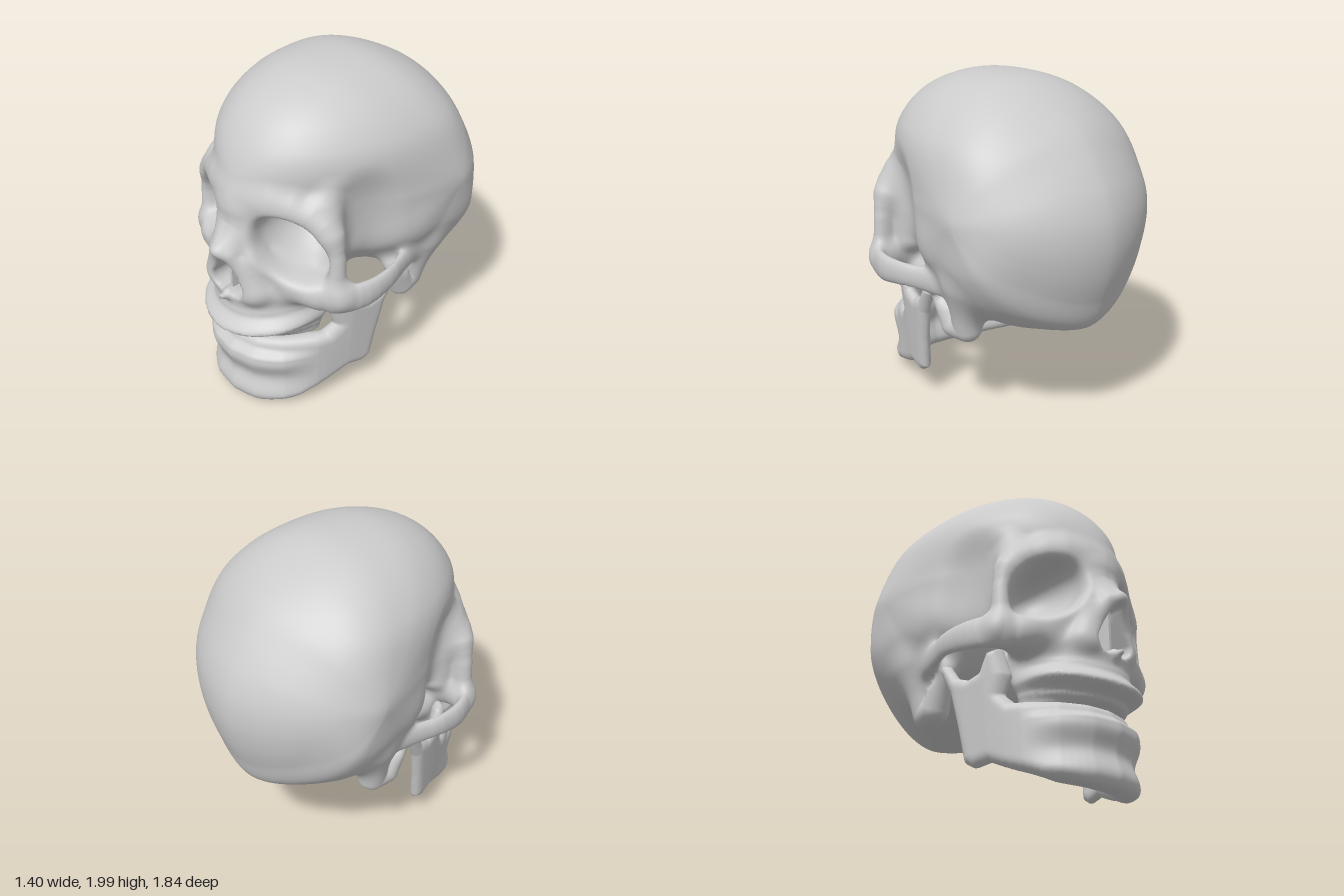
import * as THREE from 'three';

// ---- blending and shape helpers (signed distances, negative inside) ----
const clamp = (v, lo, hi) => Math.min(hi, Math.max(lo, v));
const smin = (a, b, k) => Math.min(a, b) - Math.max(k - Math.abs(a - b), 0) ** 2 / (4 * k);
const smax = (a, b, k) => -smin(-a, -b, k);
const step01 = (a, b, v) => {
  const t = clamp((v - a) / (b - a), 0, 1);
  return t * t * (3 - 2 * t);
};
// smooth interpolation through [position, value] pairs
const ramp = (pts, v) => {
  let out = pts[0][1];
  for (let i = 1; i < pts.length; i++) {
    out += (pts[i][1] - pts[i - 1][1]) * step01(pts[i - 1][0], pts[i][0], v);
  }
  return out;
};
const ellipsoid = (x, y, z, rx, ry, rz) => {
  const k0 = Math.hypot(x / rx, y / ry, z / rz);
  const k1 = Math.hypot(x / rx / rx, y / ry / ry, z / rz / rz);
  return k1 < 1e-6 ? -Math.min(rx, ry, rz) : k0 * (k0 - 1) / k1;
};
// tapered rod through [x, y, z, radius] points; sy < 1 makes it taller
const rod = (pts, x, y, z, sy = 1) => {
  let best = 1e9;
  for (let i = 1; i < pts.length; i++) {
    const a = pts[i - 1], b = pts[i];
    const bx = b[0] - a[0], by = (b[1] - a[1]) * sy, bz = b[2] - a[2];
    const px = x - a[0], py = (y - a[1]) * sy, pz = z - a[2];
    const h = clamp((px * bx + py * by + pz * bz) / (bx * bx + by * by + bz * bz), 0, 1);
    const d = Math.hypot(px - bx * h, py - by * h, pz - bz * h) - a[3] - (b[3] - a[3]) * h;
    if (d < best) best = d;
  }
  return best;
};
const polygon = (pts, x, y) => {
  let d = 1e9, inside = false;
  for (let i = 0, j = pts.length - 1; i < pts.length; j = i++) {
    const [ax, ay] = pts[i], ex = pts[j][0] - ax, ey = pts[j][1] - ay;
    const h = clamp(((x - ax) * ex + (y - ay) * ey) / (ex * ex + ey * ey), 0, 1);
    d = Math.min(d, Math.hypot(x - ax - ex * h, y - ay - ey * h));
    if ((ay > y) !== (pts[j][1] > y) && x < ax + ex * (y - ay) / ey) inside = !inside;
  }
  return inside ? -d : d;
};

// ---- braincase: side outline as radii every 15 degrees, swept to the sides ----
const OUTLINE = [1.15, 1.14, 1.07, 0.94, 0.807, 0.71, 0.622, 0.56, 0.522, 0.495, 0.49, 0.505,
  0.53, 0.56, 0.6, 0.66, 0.755, 0.73, 0.7, 0.69, 0.69, 0.8, 0.95, 1.06];
const outlineAt = (angle) => {
  const s = (angle / (Math.PI * 2) + 1) % 1 * 24, i = Math.floor(s), t = s - i;
  const [a, b, c, d] = [-1, 0, 1, 2].map((k) => OUTLINE[(i + k + 24) % 24]);
  return b + 0.5 * t * (c - a + t * (2 * a - 5 * b + 4 * c - d + t * (3 * (b - c) + d - a)));
};
const braincase = (x, y, z) => {
  const dy = y - 1.3, dz = z + 0.38;
  // fuller over the crown and low above the ears, wedge-like towards brow and nape
  const middle = step01(-0.75, -0.35, z);
  const p = 1.68 + 0.42 * step01(1.35, 1.7, y) * middle
    + 0.75 * (1 - step01(1, 1.3, y)) * middle * (1 - step01(-0.15, 0.2, z));
  const t = Math.hypot(dy, dz) / outlineAt(Math.atan2(dy, dz));
  return 0.75 * (Math.pow(Math.pow(t, p) + Math.pow(x / 0.7, p), 1 / p) - 1);
};

// ---- face bones, left half ----
const smooth = (pts, n) => {
  const at = (a, b) => new THREE.CatmullRomCurve3(pts.map((p) => new THREE.Vector3(p[a], p[b], p[3])));
  const xy = at(0, 1).getPoints(n), zz = at(2, 2).getPoints(n);
  return xy.map((p, i) => [p.x, p.y, zz[i].x, p.z]);
};
const BROW = smooth([[0, 1.36, 0.68, 0.08], [0.2, 1.39, 0.63, 0.08], [0.38, 1.34, 0.54, 0.075],
  [0.49, 1.23, 0.49, 0.06], [0.53, 1.1, 0.48, 0.052], [0.53, 0.92, 0.485, 0.055]], 10);
const CREST = [[0.4, 1.54, 0.28, 0.02], [0.4, 1.48, 0.41, 0.03], [0.42, 1.38, 0.47, 0.055], [0.485, 1.25, 0.48, 0.055]];
const SOCKET_WALL = [[0.37, 1.36, 0.42, 0.085], [0.4, 1.15, 0.4, 0.07], [0.4, 0.96, 0.4, 0.07]];
const CHEEK = [[0.31, 0.86, 0.57, 0.09], [0.44, 0.84, 0.51, 0.1], [0.55, 0.845, 0.475, 0.075]];
const ARCH = smooth([[0.53, 0.845, 0.5, 0.042], [0.605, 0.845, 0.42, 0.038], [0.64, 0.85, 0.29, 0.034],
  [0.637, 0.86, 0.16, 0.03], [0.595, 0.86, 0.02, 0.03], [0.54, 0.87, -0.15, 0.04]], 12);
const NOSE_SIDE = [[0.06, 1.3, 0.69, 0.055], [0.12, 1.08, 0.735, 0.05], [0.17, 0.85, 0.74, 0.05]];
const RIM = [[0.16, 1.05, 0.7, 0.045], [0.28, 0.94, 0.63, 0.055], [0.4, 0.88, 0.56, 0.06]];
const BRIDGE = [[0, 1.3, 0.69, 0.07], [0, 1.2, 0.71, 0.06], [0, 1.095, 0.88, 0.033]];
const NOSE_ROOF = [[0.03, 1.18, 0.73, 0.05], [0.05, 1.07, 0.83, 0.036], [0.105, 0.95, 0.785, 0.036], [0.14, 0.82, 0.755, 0.04]];
const MASTOID = [[0.5, 0.78, -0.03, 0.055], [0.47, 0.59, -0.13, 0.08], [0.45, 0.59, -0.22, 0.085], [0.5, 0.87, -0.25, 0.1]];
const SPINE = [[0, 0.755, 0.79, 0.035], [0, 0.77, 0.87, 0.014]];
const GUM = [[0.46, -0.06], [0.5, -0.02], [0.56, 0.065], [0.66, 0.005], [0.7, 0], [0.78, 0.01], [0.95, -0.04]];

const skullField = (sx, y, z) => {
  const x = Math.abs(sx);
  // braincase with hollowed temples and ear openings
  let d = smax(braincase(x, y, z), -ellipsoid(x - 0.66, y - 1.2, z - 0.33, 0.18, 0.34, 0.22), 0.12);
  d = smin(d, rod(MASTOID, x, y, z), 0.13);
  d = smax(d, -ellipsoid(x - 0.6, y - 0.77, z + 0.1, 0.1, 0.05, 0.05), 0.05);
  // upper jaw with a ledge in front and a vaulted palate
  const ledge = ramp(GUM, y - 0.35 * x * x) * (0.3 + 0.7 * step01(0.4, 0.75, z));
  let jaw = (Math.hypot(x / 0.36, (z - 0.4) / 0.42) - 1) * 0.38 - ledge;
  jaw = smax(smax(jaw, Math.abs(y - 0.735) - 0.27, 0.04), 0.4 - z, 0.05);
  jaw = smax(jaw, -ellipsoid(x, y - 0.44, z - 0.48, 0.24, 0.12, 0.27), 0.03);
  d = smin(d, jaw, 0.06);
  // solid mass behind the face, down to the back of the palate
  d = smin(d, ellipsoid(x, y - 0.92, z - 0.42, 0.34, 0.22, 0.28), 0.05);
  d = smin(d, ellipsoid(x, y - 0.73, z - 0.31, 0.38, 0.19, 0.22), 0.12);
  for (const bone of [BROW, CREST, SOCKET_WALL, CHEEK, NOSE_SIDE, RIM, BRIDGE, NOSE_ROOF]) {
    d = smin(d, rod(bone, x, y, z), 0.09);
  }
  d = smin(d, rod(ARCH, x, y, z, 0.42), 0.04);
  // eye sockets droop outwards and turn inwards towards the back
  const ex = x - 0.33 - 0.2 * (z - 0.65), ey = y - 1.135 + 0.32 * (x - 0.32);
  d = smax(d, -ellipsoid(ex, ey, z - 0.65, 0.208, 0.182, 0.34), 0.05);
  // pear-shaped nose opening, then the small spine under it
  const h = clamp((x * 0.06 + (1.03 - y) * 0.19) / 0.0397, 0, 1);
  const pear = Math.hypot(x - 0.06 * h, y - 1.03 + 0.19 * h) - 0.03 - 0.037 * h;
  d = smax(d, -Math.max(pear, 0.58 - z), 0.02);
  return smin(d, rod(SPINE, x, y, z), 0.03);
};

// ---- lower jaw: a wall along a U-shaped plan, trimmed by its side outline ----
const JAW_PLAN = smooth([[0, 0, 0.74, 0], [0.13, 0, 0.715, 0], [0.25, 0, 0.63, 0], [0.36, 0, 0.48, 0],
  [0.44, 0, 0.3, 0], [0.48, 0, 0.12, 0], [0.5, 0, -0.1, 0]], 24);
const JAW_SIDE = [[1, 0], [0.75, 0.005], [0.6, 0.025], [0.45, 0.095], [0.3, 0.175], [0.2, 0.16],
  [0.14, 0.2], [0.11, 0.4], [0.07, 0.6], [0, 0.75], [0.02, 0.8], [0.07, 0.78], [0.13, 0.69],
  [0.2, 0.665], [0.27, 0.69], [0.32, 0.8], [0.39, 0.81], [0.425, 0.65], [0.39, 0.54], [0.44, 0.485], [1, 0.45]];
const CHIN = [[0, 0.075], [0.08, 0.09], [0.2, 0.06], [0.33, 0.1], [0.36, 0.098], [0.42, 0.045]];
const jawField = (sx, y, z) => {
  const ramus = 1 - step01(0.3, 0.6, z);
  const x = Math.abs(sx) - 0.09 * (y - 0.3) * ramus;
  const half = 0.042 + 0.023 * (1 - ramus) + (ramp(CHIN, y) - 0.065) * step01(0.48, 0.76, z);
  const lift = 0.2 * x * x * (1 - ramus) * (1 - step01(0.05, 0.3, y));
  return smax(rod(JAW_PLAN, x, 0, z) - half, polygon(JAW_SIDE, z, y - lift), 0.065);
};

// ---- turns a field into a smooth mesh: one vertex per crossed cell, one quad per crossed edge ----
function sculpt(name, field, lo, hi, step, material) {
  const n = lo.map((v, i) => Math.ceil((hi[i] - v) / step) + 1);
  const stride = [1, n[0], n[0] * n[1]];
  const values = new Float32Array(n[0] * n[1] * n[2]);
  const cell = new Int32Array(values.length).fill(-1);
  const position = [], normal = [], index = [];
  const eachPoint = (from, trim, fn) => {
    for (let k = from; k < n[2] - trim; k++) {
      for (let j = from; j < n[1] - trim; j++) {
        for (let i = from; i < n[0] - trim; i++) fn(i + j * stride[1] + k * stride[2], [i, j, k]);
      }
    }
  };
  eachPoint(0, 0, (id, c) => { values[id] = field(...c.map((v, m) => lo[m] + v * step)); });
  eachPoint(0, 1, (id, base) => {
    const sum = [0, 0, 0];
    let count = 0;
    for (let c = 0; c < 8; c++) {
      const corner = id + (c & 1) + (c >> 1 & 1) * stride[1] + (c >> 2) * stride[2];
      for (let axis = 0; axis < 3; axis++) {
        const a = values[corner], b = values[corner + stride[axis]];
        if ((c >> axis & 1) || (a < 0) === (b < 0)) continue;
        for (let m = 0; m < 3; m++) sum[m] += m === axis ? a / (a - b) : c >> m & 1;
        count++;
      }
    }
    if (!count) return;
    cell[id] = position.length / 3;
    const p = base.map((v, m) => lo[m] + (v + sum[m] / count) * step);
    const g = p.map((_, m) => {
      const [a, b] = [0.008, -0.008].map((e) => field(...p.map((v, q) => (q === m ? v + e : v))));
      return (a - b) / 0.016;
    });
    const len = Math.hypot(...g) || 1;
    const move = clamp(field(...p) / len, -step / 2, step / 2);
    position.push(...p.map((v, m) => v - move * g[m] / len));
    normal.push(...g.map((v) => v / len));
  });
  eachPoint(1, 1, (id) => {
    for (let axis = 0; axis < 3; axis++) {
      const inside = values[id] < 0;
      if (inside === (values[id + stride[axis]] < 0)) continue;
      const u = stride[(axis + 1) % 3], v = stride[(axis + 2) % 3];
      const [a, b, c, d] = [id, id - u, id - u - v, id - v].map((q) => cell[q]);
      index.push(...(inside ? [a, b, c, a, c, d] : [a, c, b, a, d, c]));
    }
  });
  const geometry = new THREE.BufferGeometry().setIndex(index);
  geometry.setAttribute('position', new THREE.Float32BufferAttribute(position, 3));
  geometry.setAttribute('normal', new THREE.Float32BufferAttribute(normal, 3));
  const mesh = new THREE.Mesh(geometry, material);
  mesh.name = name;
  return mesh;
}

export function createModel() {
  const bone = new THREE.MeshStandardMaterial({ color: 0xcccccc });
  const septum = new THREE.Mesh(new THREE.BoxGeometry(0.018, 0.29, 0.2), bone);
  septum.name = 'nasalSeptum';
  septum.position.set(0, 0.9, 0.69);
  const model = new THREE.Group().add(septum);
  model.name = 'skullModel';
  model.add(sculpt('skull', skullField, [-0.76, 0.4, -1], [0.76, 2.06, 1], 0.017, bone));
  model.add(sculpt('lowerJaw', jawField, [-0.68, -0.05, -0.1], [0.68, 0.9, 0.92], 0.016, bone));
  return model;
}
